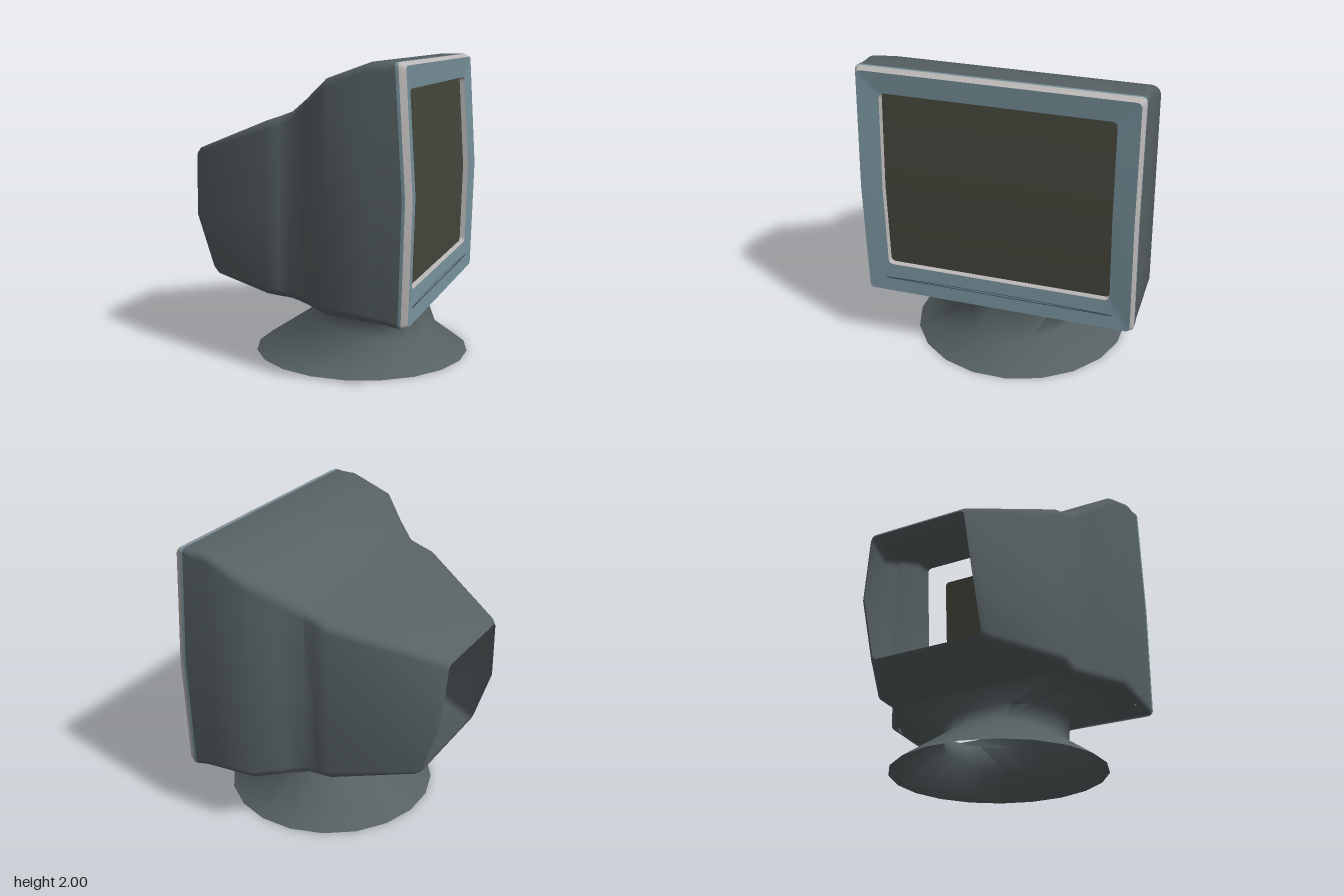
import * as THREE from 'three';
import { toCreasedNormals } from 'three/addons/utils/BufferGeometryUtils.js';

const mat = (color, side = THREE.FrontSide) => new THREE.MeshStandardMaterial({ color, side });

// Value at t on a bent line given as [t, value] pairs in rising t
function bent(pairs, t) {
  let i = 0;
  while (i < pairs.length - 2 && t > pairs[i + 1][0]) i++;
  const [t0, v0] = pairs[i], [t1, v1] = pairs[i + 1];
  return v0 + (v1 - v0) * (t - t0) / (t1 - t0);
}

// Rounded rectangle in the y-z plane with a vertex at yMid on both sides
const FLOOR = 16; // index of the section's bottom edge
function section(xAt, hw, y0, y1, r, yMid, topScale = 1) {
  const pts = [];
  const add = (y, z) => {
    const s = y > yMid ? 1 + (topScale - 1) * (y - yMid) / (y1 - yMid) : 1;
    pts.push([xAt(y), y, z * s]);
  };
  const corner = (cy, cz, start) => {
    for (let k = 0; k <= 4; k++) {
      const t = start + (k / 4) * Math.PI / 2;
      add(cy + r * Math.sin(t), cz + r * Math.cos(t));
    }
  };
  add(yMid, hw);
  corner(y1 - r, hw - r, 0);
  corner(y1 - r, r - hw, Math.PI / 2);
  add(yMid, -hw);
  corner(y0 + r, r - hw, Math.PI);
  corner(y0 + r, hw - r, Math.PI * 1.5);
  return pts;
}

// Skin through closed rings; keep(i, j) may leave out faces, endCap is a centre to fan from
function loft(rings, { keep = () => true, endCap, crease = 0.7 } = {}) {
  const n = rings[0].length, pos = rings.flat(2), idx = [];
  for (let i = 0; i < rings.length - 1; i++) {
    for (let j = 0; j < n; j++) {
      if (!keep(i, j)) continue;
      const a = i * n + j, b = i * n + (j + 1) % n;
      idx.push(a, a + n, b, b, a + n, b + n);
    }
  }
  if (endCap) {
    const c = pos.length / 3, first = (rings.length - 1) * n;
    pos.push(...endCap);
    for (let j = 0; j < n; j++) idx.push(c, first + (j + 1) % n, first + j);
  }
  const g = new THREE.BufferGeometry();
  g.setAttribute('position', new THREE.Float32BufferAttribute(pos, 3));
  g.setIndex(idx);
  return toCreasedNormals(g, crease);
}

// Ring of the front, following the bend of the screen side
const frontX = (off, y) => off + bent([[0.42, 0.03], [1.2, 0.05], [2, 0]], y);
const front = (off, hw, y0, y1, r) => section(y => frontX(off, y), hw, y0, y1, r, 1.2);

export function createModel() {
  const model = new THREE.Group();
  const add = (name, geometry, material) => {
    const m = new THREE.Mesh(geometry, material);
    m.name = name;
    model.add(m);
    return m;
  };
  const shell = mat(0x566062, THREE.DoubleSide);
  const blue = mat(0x78929c), trim = mat(0xbab6b6), dark = mat(0x3a4a50);

  // Housing, open at the back and where the neck joins the floor
  // Stations: x, half width, bottom, top, corner radius, middle height
  const stations = [
    [-0.25, 0.705, 0.5, 1.62, 0.06, 1.0],
    [-0.16, 0.702, 0.49, 1.65, 0.06, 1.02],
    [-0.08, 0.7, 0.485, 1.68, 0.06, 1.05],
    [0.05, 0.785, 0.475, 1.77, 0.06, 1.1],
    [0.22, 0.91, 0.46, 1.9, 0.06, 1.15],
    [0.5, 0.91, 0.44, 2.0, 0.05, 1.2],
    [0.6, 0.91, 0.43, 2.0, 0.05, 1.2],
  ];
  const backX = y => bent([[0.54, -0.75], [0.94, -0.88], [1.38, -0.9]], y);
  const housing = [
    section(backX, 0.395, 0.56, 1.36, 0.03, 0.94, 0.87),
    section(y => backX(y) + 0.03, 0.425, 0.535, 1.39, 0.04, 0.94, 0.87),
    ...stations.map(([x, ...rest]) => section(() => x, ...rest)),
    front(0.65, 0.91, 0.42, 2.0, 0.03),
  ];
  add('housing', loft(housing, { keep: (i, j) => j !== FLOOR || i < 3 || i > 7 }), shell);

  // Front frame: side band, light edge, face and inner lip
  const edgeBack = front(0.67, 0.91, 0.42, 2.0, 0.03);
  const edgeFront = front(0.71, 0.89, 0.432, 1.98, 0.03);
  const opening = front(0.69, 0.75, 0.63, 1.84, 0.03);
  const screenRim = front(0.655, 0.745, 0.635, 1.835, 0.03);
  add('frameBand', loft([front(0.65, 0.91, 0.42, 2.0, 0.03), edgeBack]), blue);
  add('frameEdge', loft([edgeBack, edgeFront]), trim);
  add('frameFace', loft([edgeFront, opening]), blue);
  add('screenLip', loft([opening, screenRim]), trim);

  // Screen
  add('screen', loft([front(0.65, 0.745, 0.635, 1.835, 0.03), screenRim],
    { endCap: [frontX(0.655, 1.2), 1.2, 0] }), mat(0x45463c, THREE.DoubleSide));

  // Thin straight line with a shallow arc above it, below the screen
  const line = add('grooveLine', new THREE.BoxGeometry(0.008, 0.004, 1.54), dark);
  line.position.set(0.732, 0.526, 0);
  const arc = new THREE.QuadraticBezierCurve3(
    new THREE.Vector3(0.732, 0.527, 0.77), new THREE.Vector3(0.729, 0.553, 0), new THREE.Vector3(0.732, 0.527, -0.77));
  add('grooveArc', new THREE.TubeGeometry(arc, 24, 0.003, 5), dark);

  // Foot and tilted neck, hollow: centre x, x radius, z radius, y, tilt
  const SIDES = 20;
  const ring = point => Array.from({ length: SIDES }, (_, k) => {
    const t = (k + 0.5) / SIDES * Math.PI * 2;
    return point(Math.cos(t), Math.sin(t));
  });
  const rings = [
    [0.17, 0.73, 0.735, 0, 0],
    [0.27, 0.425, 0.425, 0.21, 0.06],
    [0.265, 0.35, 0.465, 0.36, 0.03],
  ].map(([cx, rx, rz, y, tilt]) => ring((c, s) => [cx + rx * c, y - tilt * c, rz * s]));

  // The neck flares out to the opening in the housing floor
  const floorWidth = stations.map(([x, hw, , , r]) => [x, hw - r]);
  const floorY = stations.map(([x, , y]) => [x, y]);
  rings.push(ring((c, s) => {
    const m = Math.max(Math.abs(c), Math.abs(s));
    const x = 0.22 + 0.38 * c / m;
    return [x, bent(floorY, x) + 0.002, bent(floorWidth, x) * s / m];
  }));
  add('foot', loft(rings, { crease: 1.6 }), shell);

  return model;
}
